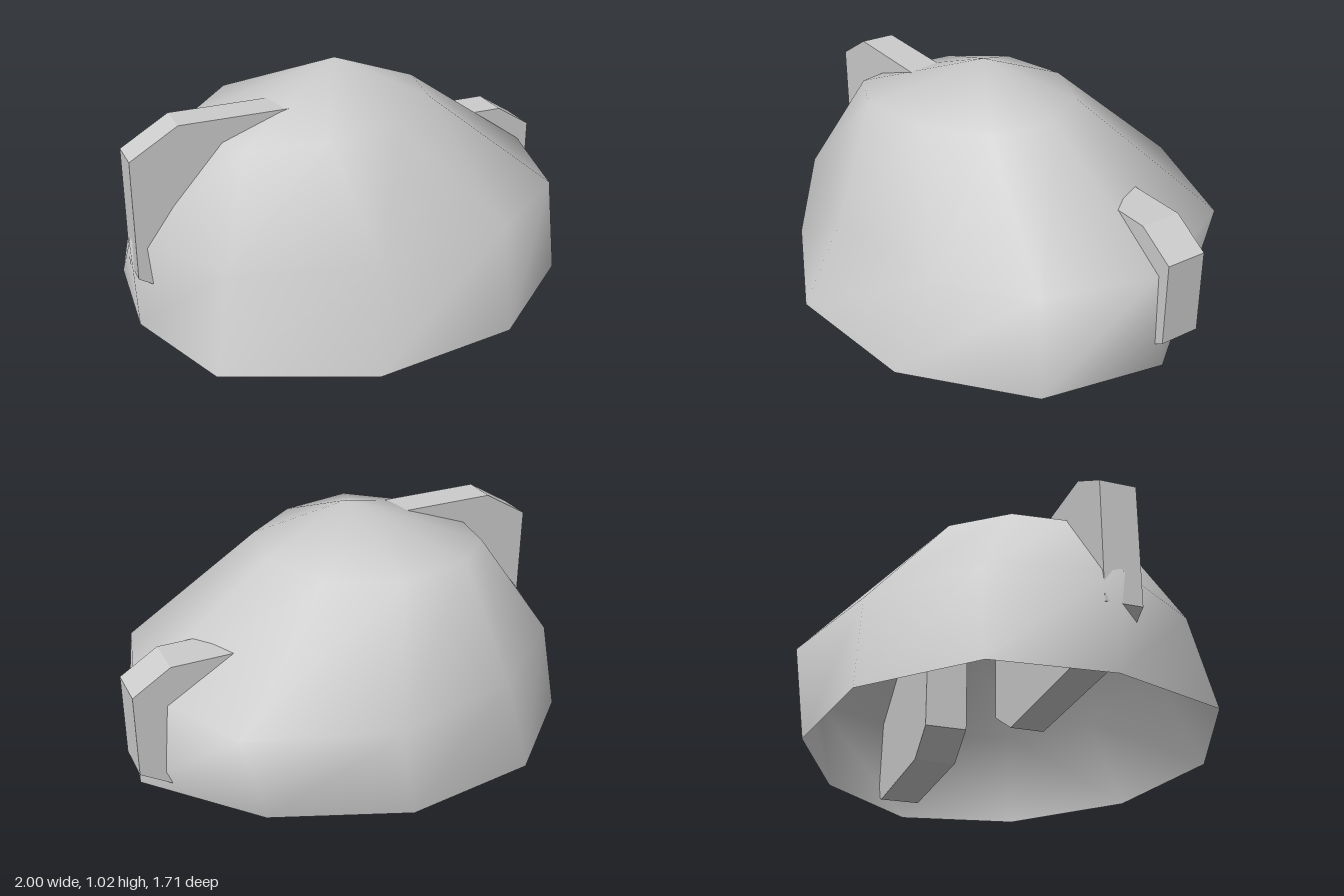
import * as THREE from 'three';

export function createModel() {
  const model = new THREE.Group();
  const stone = new THREE.MeshStandardMaterial({ color: 0xcccccc, side: THREE.DoubleSide });
  stone.name = 'pale grey stone';

  // Dome shell: three uneven ten-sided rings (x, y, z) and an apex, open underneath
  const baseRing = [[-0.8, 0, 0.6], [-0.22, 0, 0.85], [0.41, 0, 0.76], [0.87, 0, 0.37], [0.97, 0, -0.16],
    [0.58, 0, -0.6], [0.03, 0, -0.82], [-0.55, 0, -0.74], [-0.94, 0, -0.37], [-0.98, 0, 0.11]];
  const middleRing = [[-0.73, 0.4, 0.53], [-0.14, 0.4, 0.7], [0.45, 0.41, 0.62], [0.83, 0.42, 0.35], [0.95, 0.43, -0.12],
    [0.7, 0.43, -0.65], [0.12, 0.43, -0.86], [-0.45, 0.42, -0.7], [-0.86, 0.41, -0.36], [-1, 0.4, 0.13]];
  const upperRing = [[-0.57, 0.81, 0.33], [-0.26, 0.85, 0.47], [0.05, 0.85, 0.41], [0.29, 0.86, 0.21], [0.34, 0.86, -0.06],
    [0.18, 0.84, -0.3], [-0.12, 0.83, -0.42], [-0.43, 0.82, -0.36], [-0.63, 0.8, -0.16], [-0.67, 0.79, 0.08]];
  const rings = [baseRing, middleRing, upperRing];
  const points = [...rings.flat(), [-0.06, 1.02, 0.02]];
  const sides = baseRing.length;
  const index = [];
  for (let r = 0; r < rings.length; r++) {
    for (let i = 0; i < sides; i++) {
      const a = r * sides + i;
      const b = r * sides + (i + 1) % sides;
      if (r === rings.length - 1) index.push(a, b, points.length - 1);
      else index.push(a, b, b + sides, a, b + sides, a + sides);
    }
  }
  const domeGeometry = new THREE.BufferGeometry();
  domeGeometry.setAttribute('position', new THREE.Float32BufferAttribute(points.flat(), 3));
  domeGeometry.setIndex(index);
  domeGeometry.computeVertexNormals();
  const dome = new THREE.Mesh(domeGeometry, stone);
  dome.name = 'domeShell';
  model.add(dome);

  // Upright slab with four chamfered corners, passing through the dome wall
  function addSlab(name, x0, x1, y0, y1, z0, z1, cx, cy) {
    const shape = new THREE.Shape([
      [x0 + cx, y0], [x1 - cx, y0], [x1, y0 + cy], [x1, y1 - cy],
      [x1 - cx, y1], [x0 + cx, y1], [x0, y1 - cy], [x0, y0 + cy],
    ].map(([x, y]) => new THREE.Vector2(x, y)));
    const geometry = new THREE.ExtrudeGeometry(shape, { depth: z1 - z0, bevelEnabled: false });
    geometry.translate(0, 0, z0);
    const slab = new THREE.Mesh(geometry, stone);
    slab.name = name;
    model.add(slab);
  }
  addSlab('rightSlab', -0.99, 0.21, 0.15, 0.9, 0.06, 0.21, 0.2, 0.12);
  addSlab('leftSlab', 0.07, 1, 0.04, 0.6, -0.3, -0.12, 0.16, 0.1);

  return model;
}
